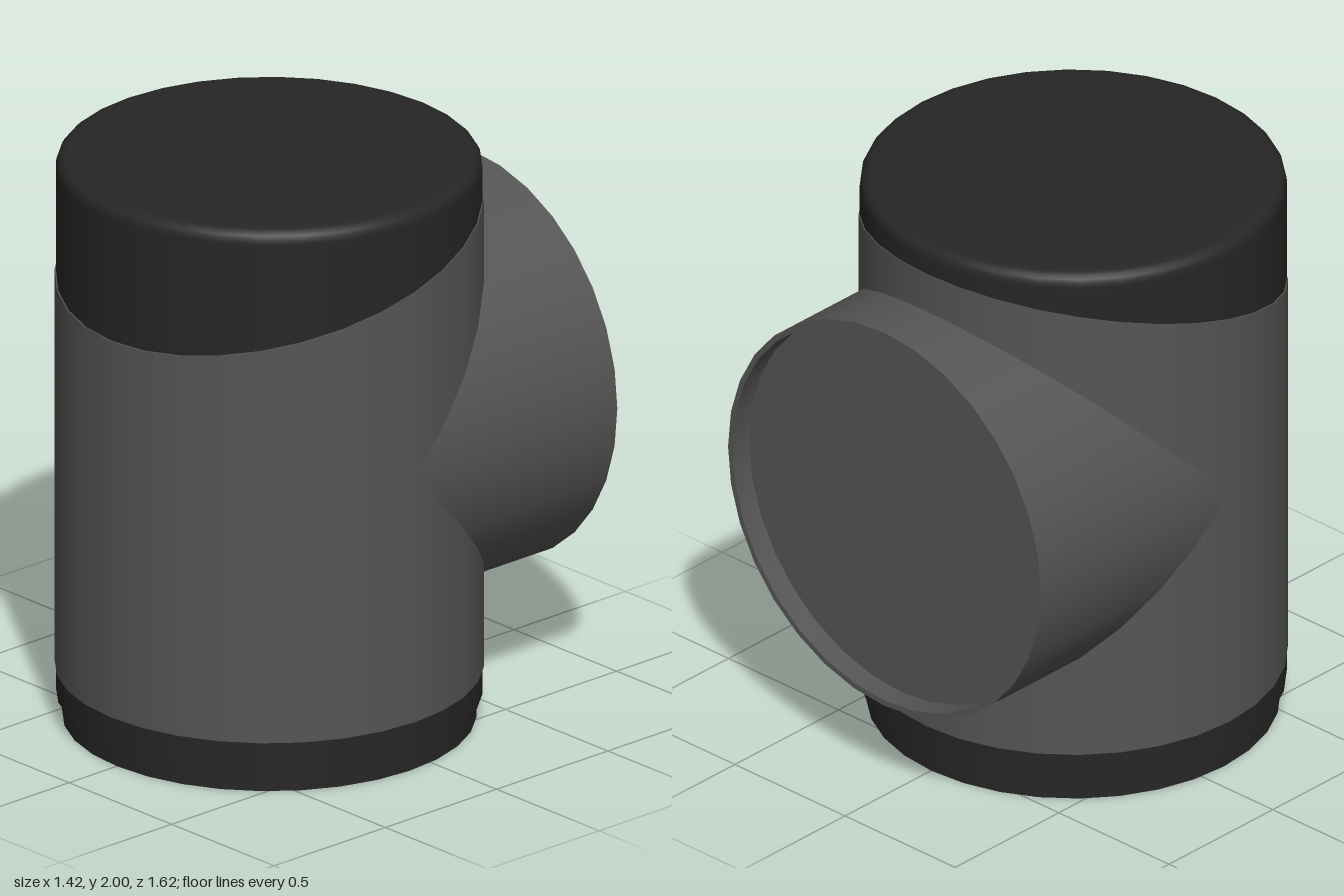
import * as THREE from 'three';
import { toCreasedNormals } from 'three/addons/utils/BufferGeometryUtils.js';

const SIDES = 32;
const R = 0.71; // radius of the body and of the side pipe
const Z = 0.1; // axis of the upright body
const PIPE_Y = 1.05; // axis of the side pipe
const BACK = -0.81; // open end of the side pipe

const grey = new THREE.MeshStandardMaterial({ color: 0x555555 });
const black = new THREE.MeshStandardMaterial({ color: 0x262626 });

// Height of the slanted seam, z measured from the body axis
const seam = (z) => 1.71 - z * 0.268;

function lathe(profile) {
  return new THREE.LatheGeometry(profile.map(([r, y]) => new THREE.Vector2(r, y)), SIDES);
}

function moveVertices(geometry, rule) {
  const p = geometry.attributes.position;
  const v = new THREE.Vector3();
  for (let i = 0; i < p.count; i++) {
    rule(v.fromBufferAttribute(p, i));
    p.setXYZ(i, v.x, v.y, v.z);
  }
  return geometry;
}

export function createModel() {
  const group = new THREE.Group();
  const add = (name, geometry, material, y, z) => {
    const mesh = new THREE.Mesh(geometry, material);
    mesh.name = name;
    mesh.position.set(0, y, z);
    group.add(mesh);
  };

  // Upright body, cut off along the slanted seam
  const body = new THREE.CylinderGeometry(R, R, 1, SIDES);
  moveVertices(body, (v) => { v.y = v.y > 0 ? seam(v.z) : 0.18; });
  add('body', body, grey, 0, Z);

  // Dark top cap with a rounded edge; its lower edge follows the seam
  const capR = R - 0.004, bevel = 0.045;
  const profile = [[capR, 0], [capR, 1.94]];
  for (let i = 0; i <= 5; i++) {
    const a = (i / 5) * Math.PI / 2;
    profile.push([capR - bevel + bevel * Math.cos(a), 2 - bevel + bevel * Math.sin(a)]);
  }
  profile.push([capR - bevel - 0.01, 2], [0, 2]);
  const cap = moveVertices(lathe(profile), (v) => { if (v.y < 0.01) v.y = seam(v.z) - 0.005; });
  add('topCap', cap, black, 0, Z);

  // Stepped base: a narrow foot below a wider ring
  add('baseRing', new THREE.CylinderGeometry(capR, capR, 0.1, SIDES), black, 0.135, Z);
  add('foot', new THREE.CylinderGeometry(0.685, 0.685, 0.1, SIDES), black, 0.05, Z);

  // Side pipe, its front end trimmed to meet the body in a mitre
  const pipe = new THREE.CylinderGeometry(R, R, 1, SIDES, 1, true).rotateX(-Math.PI / 2);
  moveVertices(pipe, (v) => { v.z = v.z < 0 ? BACK : Z - Math.abs(v.y); });
  add('sidePipe', pipe, grey, PIPE_Y, 0);

  // Thin rim and recessed end plate of the pipe
  const inner = R - 0.02, depth = 0.08;
  const end = lathe([[R, 0], [inner, 0], [inner, -depth], [0, -depth]]).rotateX(-Math.PI / 2);
  add('pipeEnd', toCreasedNormals(end, Math.PI / 5), grey, PIPE_Y, BACK);

  return group;
}
